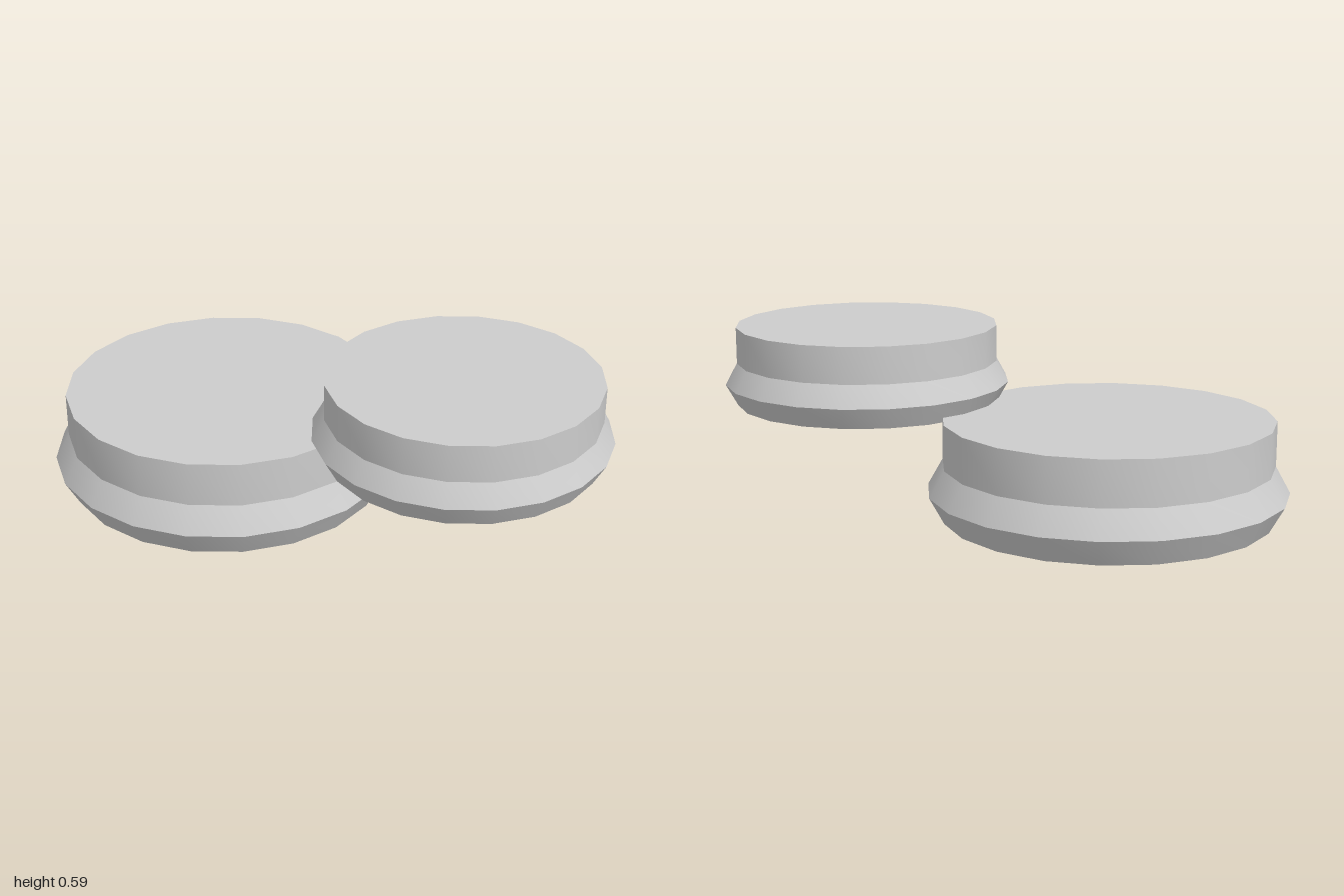
import * as THREE from 'three';
import { toCreasedNormals } from 'three/addons/utils/BufferGeometryUtils.js';

// Half-section of one disc: recessed underside, flared foot, straight wall, flat top
const PROFILE = [
  [0, 0.075], [0.412, 0.075], [0.457, 0], [0.555, 0],
  [0.605, 0.09], [0.555, 0.18], [0.555, 0.333], [0, 0.333],
].map(([r, y]) => new THREE.Vector2(r, y));

export function createModel() {
  const group = new THREE.Group();
  group.name = 'steppedDiscs';

  const grey = new THREE.MeshStandardMaterial({ color: 0xcccccc });
  grey.name = 'lightGrey';

  // Smooth around the rim, sharp between the bands
  const discGeometry = toCreasedNormals(
    new THREE.LatheGeometry(PROFILE, 20),
    THREE.MathUtils.degToRad(24)
  );

  const addDisc = (name, x, y, scale) => {
    const disc = new THREE.Mesh(discGeometry, grey);
    disc.name = name;
    disc.position.set(x, y, 0);
    disc.scale.setScalar(scale);
    group.add(disc);
  };

  addDisc('largeLowerDisc', -0.395, 0, 1);
  addDisc('smallUpperDisc', 0.505, 0.315, 0.818);

  return group;
}
